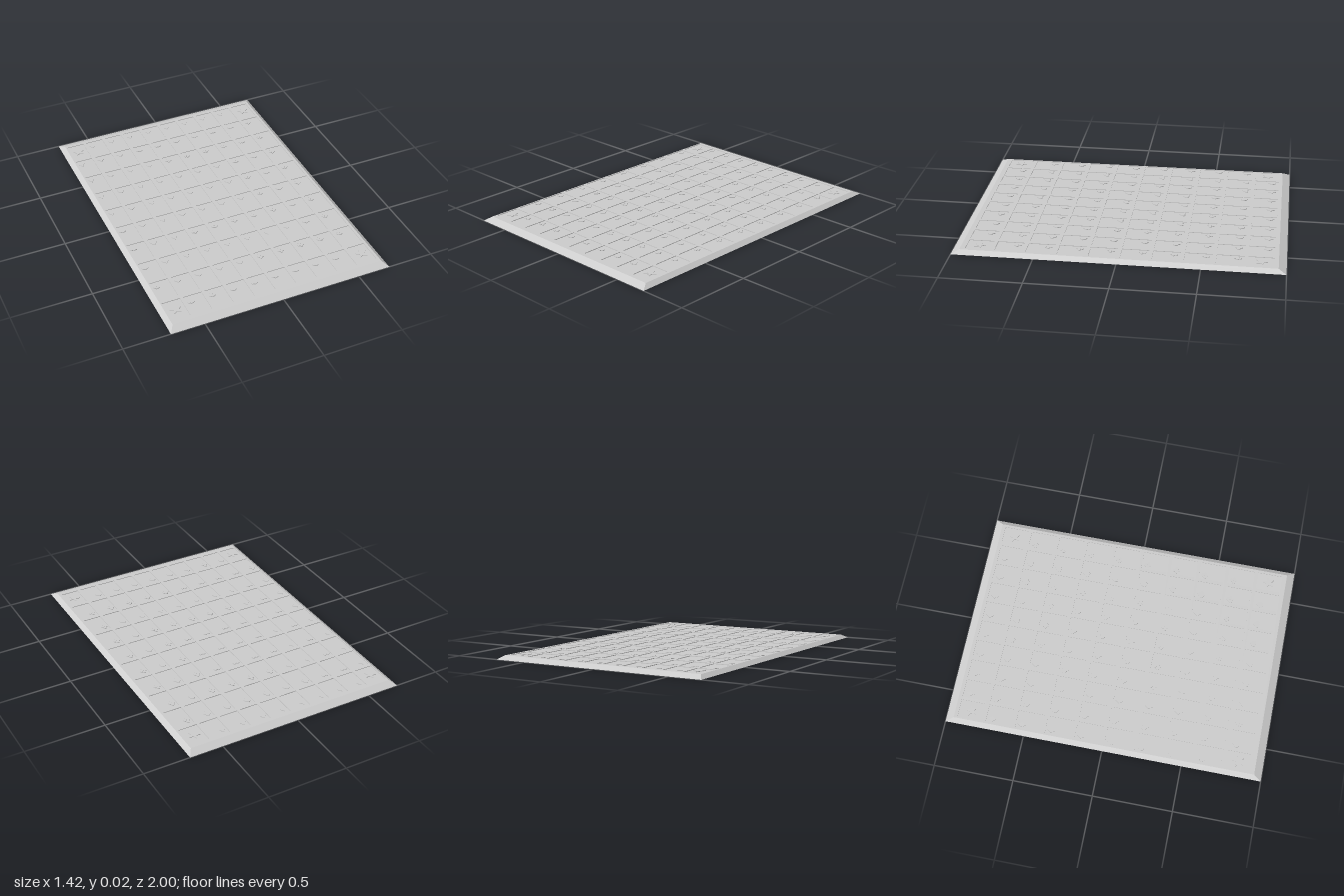
import * as THREE from 'three';

const TOP = 0.022, FLOOR = 0.018;      // rim height and sunken cell floor
const HX = 0.71, HZ = 1.0;             // half size at the ground
const TX = 0.68, TZ = 0.953;           // half size at the top
const MX = HX + (TX - HX) * FLOOR / TOP;
const MZ = HZ + (TZ - HZ) * FLOOR / TOP;

// Suit of every cell: d diamond, h heart, s spade, c club, * corner star
const LAYOUT = [
  '*dddddddd*',
  'dhhssssssc',
  'dhddccccsc',
  'dhdhhhhcsc',
  'dhdhhhhcsc',
  'shdhhhhcsc',
  'shdcccccsc',
  'shddddddsc',
  'chhhhccccc',
  '*scssssss*',
];

const colX = c => -0.004 + (c - 4.5) * 0.1355;
const rowZ = r => -0.004 + (r - 4.5) * 0.1895 + (r === 0 ? 0.005 : r === 9 ? -0.005 : 0);
const cellHalfZ = r => (r === 0 || r === 9 ? 0.078 : 0.083);
const CELL_HALF_X = 0.0575;

function polygon(points) {
  return new THREE.Shape(points.map(([x, y]) => new THREE.Vector2(x, y)));
}

function rect(cx, cy, hx, hy, Type) {
  return new Type([[-1, -1], [1, -1], [1, 1], [-1, 1]]
    .map(([a, b]) => new THREE.Vector2(cx + a * hx, cy + b * hy)));
}

// Extrude a flat outline upward from the cell floor
function raise(shapes) {
  const geo = new THREE.ExtrudeGeometry(shapes, {
    depth: TOP - FLOOR, bevelEnabled: false, curveSegments: 6,
  });
  return geo.rotateX(-Math.PI / 2).translate(0, FLOOR, 0);
}

function heartShape(flip) {
  const s = new THREE.Shape();
  s.moveTo(0, -0.022 * flip);
  s.bezierCurveTo(0.008, -0.013 * flip, 0.022, -0.006 * flip, 0.022, 0.007 * flip);
  s.bezierCurveTo(0.022, 0.022 * flip, 0.004, 0.022 * flip, 0, 0.011 * flip);
  s.bezierCurveTo(-0.004, 0.022 * flip, -0.022, 0.022 * flip, -0.022, 0.007 * flip);
  s.bezierCurveTo(-0.022, -0.006 * flip, -0.008, -0.013 * flip, 0, -0.022 * flip);
  return s;
}

function disc(x, y, r) {
  const s = new THREE.Shape();
  s.absarc(x, y, r, 0, Math.PI * 2);
  return s;
}

function makeIcons() {
  const stem = polygon([[-0.007, -0.023], [0.007, -0.023], [0.002, -0.004], [-0.002, -0.004]]);
  const star = [];
  for (let i = 0; i < 10; i++) {
    const a = Math.PI / 2 + i * Math.PI / 5, r = i % 2 ? 0.016 : 0.038;
    star.push([Math.cos(a) * r, Math.sin(a) * r]);
  }
  return {
    d: raise(polygon([[0, -0.026], [0.018, 0], [0, 0.026], [-0.018, 0]])),
    h: raise(heartShape(1)),
    s: raise([heartShape(-1), stem]),
    c: raise([disc(0, 0.011, 0.0105), disc(-0.011, -0.005, 0.0105), disc(0.011, -0.005, 0.0105), stem]),
    '*': raise(polygon(star)),
  };
}

export function createModel() {
  const model = new THREE.Group();
  model.name = 'gameBoard';
  const material = new THREE.MeshStandardMaterial({ color: 0xcccccc, flatShading: true });

  const add = (geo, name, parent = model) => {
    const mesh = new THREE.Mesh(geo, material);
    mesh.name = name;
    parent.add(mesh);
    return mesh;
  };

  // Base slab with sloping sides, its top being the cell floor
  const base = new THREE.BoxGeometry(2 * HX, FLOOR, 2 * HZ).translate(0, FLOOR / 2, 0);
  const bp = base.attributes.position;
  for (let i = 0; i < bp.count; i++) {
    if (bp.getY(i) > FLOOR / 2) {
      bp.setX(i, Math.sign(bp.getX(i)) * MX);
      bp.setZ(i, Math.sign(bp.getZ(i)) * MZ);
    }
  }
  base.computeVertexNormals();
  add(base, 'baseSlab');

  // Grid plate pierced by the card cells
  const plate = rect(0, 0, TX, TZ, THREE.Shape);
  for (let r = 0; r < 10; r++) {
    for (let c = 0; c < 10; c++) {
      plate.holes.push(rect(colX(c), -rowZ(r), CELL_HALF_X, cellHalfZ(r), THREE.Path));
    }
  }
  const grid = raise(plate);
  // Spread the lower outer corners so the rim continues the slope
  const gp = grid.attributes.position;
  for (let i = 0; i < gp.count; i++) {
    if (gp.getY(i) < (FLOOR + TOP) / 2 && Math.abs(gp.getX(i)) > TX - 0.001) {
      gp.setX(i, Math.sign(gp.getX(i)) * MX);
      gp.setZ(i, Math.sign(gp.getZ(i)) * MZ);
    }
  }
  grid.computeVertexNormals();
  add(grid, 'cellGrid');

  // Suit marks near each cell's upper left, stars centred in the corners
  const icons = makeIcons();
  const names = { d: 'diamondMark', h: 'heartMark', s: 'spadeMark', c: 'clubMark', '*': 'cornerStar' };
  const marks = new THREE.Group();
  marks.name = 'cellMarks';
  model.add(marks);
  LAYOUT.forEach((row, r) => [...row].forEach((key, c) => {
    const mark = add(icons[key], names[key], marks);
    const corner = key === '*';
    const dz = corner ? 0 : r === 0 || r === 9 ? -0.035 : -0.046;
    mark.position.set(colX(c) + (corner ? 0 : -0.029), 0, rowZ(r) + dz);
  }));

  return model;
}
